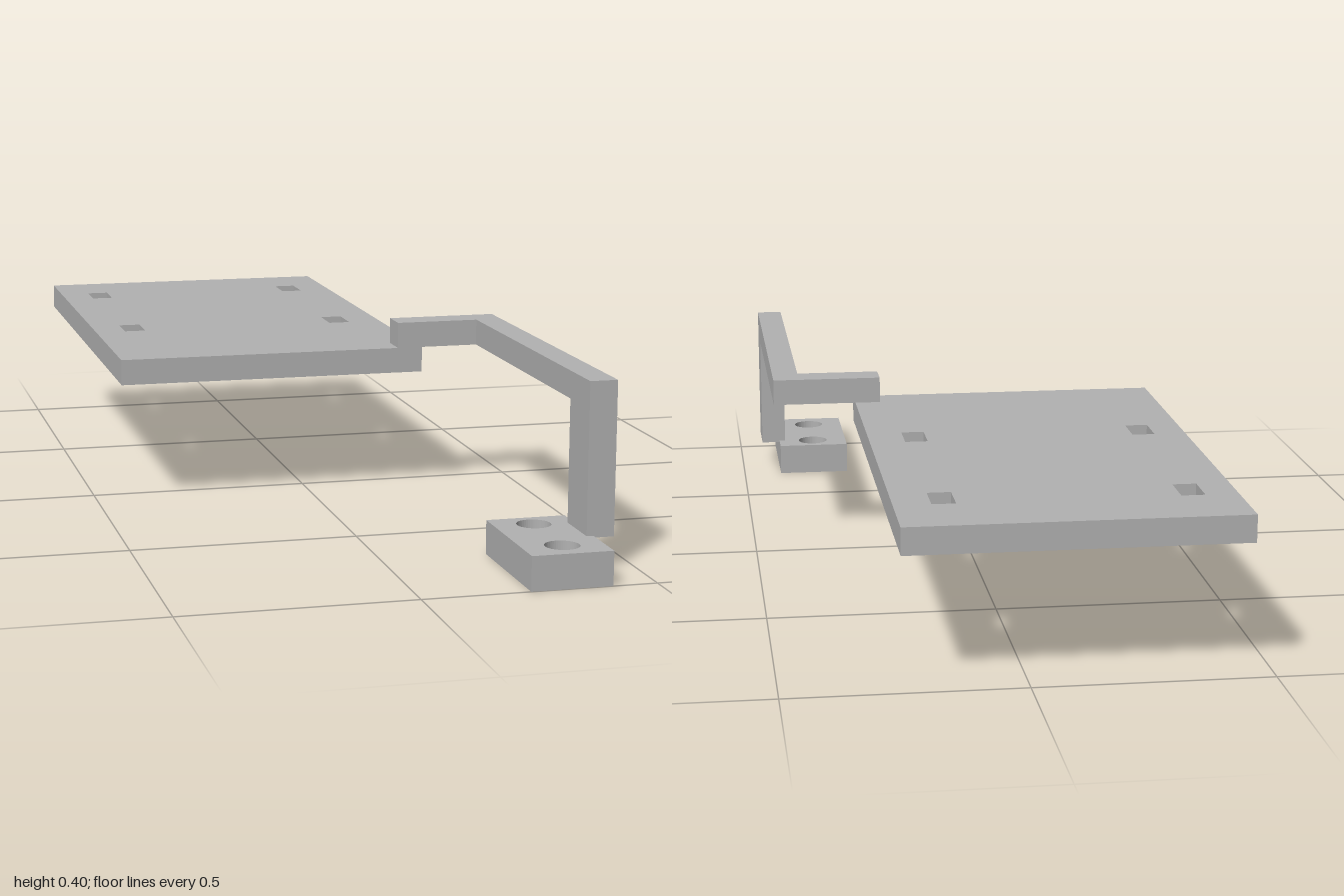
import * as THREE from 'three';

const grey = new THREE.MeshStandardMaterial({ color: 0xb2b2b2 });
grey.name = 'plain grey';

// Rectangle in plan; plan y is -z, so the extrusion rises along +y once rotated.
function planRect(Type, x0, x1, z0, z1) {
  const s = new Type();
  s.moveTo(x0, -z1);
  s.lineTo(x1, -z1);
  s.lineTo(x1, -z0);
  s.lineTo(x0, -z0);
  s.closePath();
  return s;
}

function slab(name, shape, y0, y1) {
  const geo = new THREE.ExtrudeGeometry(shape, { depth: y1 - y0, bevelEnabled: false, curveSegments: 24 });
  geo.rotateX(-Math.PI / 2).translate(0, y0, 0);
  const mesh = new THREE.Mesh(geo, grey);
  mesh.name = name;
  return mesh;
}

export function createModel() {
  const model = new THREE.Group();
  model.name = 'offsetBracket';

  // Mounting plate with four rectangular slots
  const plate = planRect(THREE.Shape, -0.45, 0.258, -1, 0.12);
  for (const x of [-0.38, 0.13]) {
    for (const z of [-0.844, -0.335]) {
      plate.holes.push(planRect(THREE.Path, x, x + 0.05, z, z + 0.086));
    }
  }
  model.add(slab('mountingPlate', plate, 0.283, 0.341));

  // L-shaped arm resting on the plate corner and reaching forward
  const arm = new THREE.Shape([
    [0.2, -0.12], [0.39, -0.12], [0.39, -0.88], [0.45, -0.88], [0.45, -0.052], [0.2, -0.052],
  ].map(([x, y]) => new THREE.Vector2(x, y)));
  model.add(slab('arm', arm, 0.341, 0.4));

  // Post dropping from the end of the arm
  model.add(slab('post', planRect(THREE.Shape, 0.39, 0.45, 0.765, 0.88), 0.07, 0.341));

  // Foot block with two round screw holes
  const foot = planRect(THREE.Shape, 0.23, 0.405, 0.705, 1);
  for (const z of [0.759, 0.935]) {
    const hole = new THREE.Path();
    hole.absarc(0.317, -z, 0.037, 0, Math.PI * 2, true);
    foot.holes.push(hole);
  }
  model.add(slab('foot', foot, 0, 0.074));

  return model;
}
